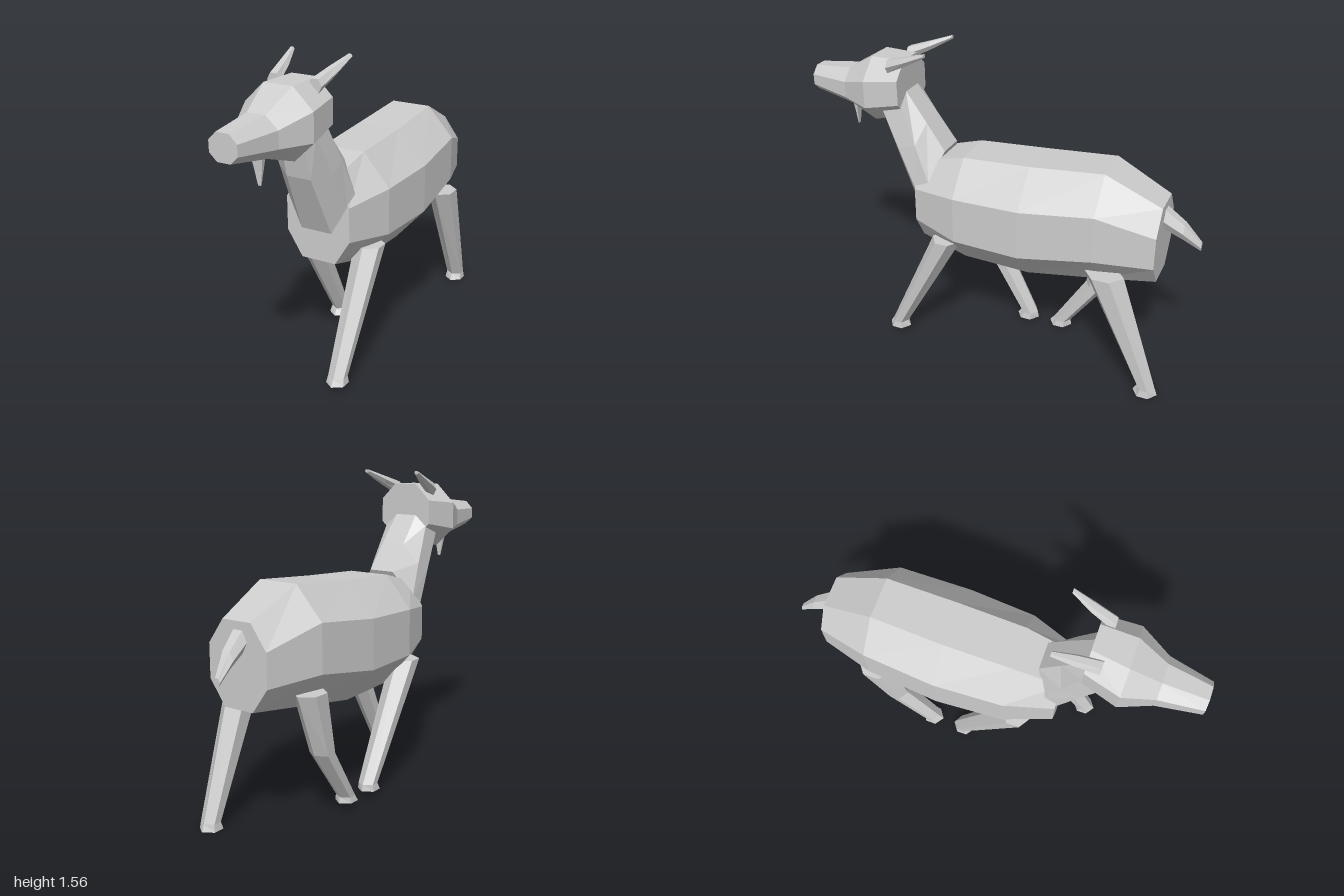
import * as THREE from 'three';

// Skin a list of rings (each a loop of [x, y, z]) with flat faces and closed ends
function loft(rings) {
  const tris = [];
  const n = rings[0].length;
  for (let i = 0; i < rings.length - 1; i++) {
    for (let j = 0; j < n; j++) {
      const k = (j + 1) % n;
      const a = rings[i][j], b = rings[i][k], c = rings[i + 1][k], d = rings[i + 1][j];
      tris.push([a, b, c], [a, c, d]);
    }
  }
  const first = rings[0], last = rings[rings.length - 1];
  for (let j = 1; j < n - 1; j++) {
    tris.push([first[0], first[j + 1], first[j]], [last[0], last[j], last[j + 1]]);
  }
  // Turn the faces outwards if the signed volume is negative
  const volume = tris.reduce((sum, [a, b, c]) => sum
    + a[0] * (b[1] * c[2] - b[2] * c[1])
    + a[1] * (b[2] * c[0] - b[0] * c[2])
    + a[2] * (b[0] * c[1] - b[1] * c[0]), 0);
  if (volume < 0) tris.forEach((t) => t.reverse());
  const geometry = new THREE.BufferGeometry();
  geometry.setAttribute('position', new THREE.Float32BufferAttribute(tris.flat(2), 3));
  geometry.computeVertexNormals();
  return geometry;
}

// Upright octagon at z: bottom, lower crease, upper crease and top heights
function octagon([z, cx, half, flat, bottom, low, high, top]) {
  return [
    [cx - flat, bottom, z], [cx + flat, bottom, z], [cx + half, low, z], [cx + half, high, z],
    [cx + flat, top, z], [cx - flat, top, z], [cx - half, high, z], [cx - half, low, z],
  ];
}

// Level hexagon with a corner towards the front and back
function hexagon([y, x, z, hx, hz]) {
  return [[x, y, z + hz], [x + hx, y, z + hz * 0.45], [x + hx, y, z - hz * 0.45],
    [x, y, z - hz], [x - hx, y, z - hz * 0.45], [x - hx, y, z + hz * 0.45]];
}

// Sloping neck ring from four [halfWidth, y, z] points, front to back
function neckRing(cx, points) {
  return [
    ...points.map(([h, y, z]) => [cx + h, y, z]),
    ...points.slice().reverse().map(([h, y, z]) => [cx - h, y, z]),
  ];
}

export function createModel() {
  const model = new THREE.Group();
  const coat = new THREE.MeshStandardMaterial({ color: 0xcccccc });
  coat.name = 'grey coat';
  coat.flatShading = true;

  const add = (name, rings) => {
    const mesh = new THREE.Mesh(loft(rings), coat);
    mesh.name = name;
    model.add(mesh);
  };

  // Body
  add('body', [
    [0.38, 0, 0.168, 0.09, 0.57, 0.695, 0.865, 0.99],
    [0.14, 0, 0.245, 0.108, 0.505, 0.665, 0.895, 1.055],
    [-0.2, 0, 0.265, 0.112, 0.495, 0.665, 0.91, 1.075],
    [-0.56, 0, 0.245, 0.105, 0.55, 0.72, 0.95, 1.105],
    [-0.83, 0, 0.163, 0.08, 0.585, 0.7, 0.86, 0.975],
  ].map(octagon));

  // Neck
  add('neck', [
    neckRing(0.004, [[0.08, 0.73, 0.4], [0.155, 0.87, 0.385], [0.155, 0.91, 0.31], [0.068, 1.05, 0.257]]),
    neckRing(0, [[0.063, 1.03, 0.53], [0.142, 1.06, 0.475], [0.138, 1.085, 0.385], [0.064, 1.18, 0.354]]),
    neckRing(-0.008, [[0.06, 1.22, 0.57], [0.125, 1.24, 0.565], [0.12, 1.27, 0.468], [0.058, 1.325, 0.468]]),
  ]);

  // Head, turned slightly to one side
  add('head', [
    [0.465, -0.003, 0.143, 0.062, 1.2, 1.28, 1.4, 1.48],
    [0.64, -0.017, 0.172, 0.073, 1.15, 1.245, 1.38, 1.475],
    [0.79, -0.024, 0.106, 0.046, 1.2, 1.25, 1.33, 1.385],
    [1.0, -0.035, 0.07, 0.032, 1.235, 1.27, 1.322, 1.36],
  ].map(octagon));

  // Horns: tapered bars sweeping up and back
  for (const side of [1, -1]) {
    const ring = (x, y, z, hx, hy) => [0, 1, 2, 3, 4, 5].map((i) => {
      const a = (i * Math.PI) / 3;
      return [x * side - 0.012 + hx * Math.cos(a), y + hy * Math.sin(a), z];
    });
    add(side > 0 ? 'leftHorn' : 'rightHorn', [
      ring(0.104, 1.455, 0.53, 0.034, 0.036),
      ring(0.125, 1.5, 0.42, 0.028, 0.024),
      ring(0.149, 1.547, 0.315, 0.013, 0.01),
    ]);
  }

  // Beard
  const beardRing = (y, x, hx, front, back) => [
    [x - hx, y, back], [x + hx, y, back], [x + hx, y, front], [x - hx, y, front]];
  add('beard', [
    beardRing(1.215, -0.025, 0.031, 0.8, 0.775),
    beardRing(1.14, -0.023, 0.019, 0.793, 0.782),
    beardRing(1.075, -0.022, 0.007, 0.79, 0.785),
  ]);

  // Tail
  const tailRing = (z, x, hx, bottom, top) => {
    const mid = (bottom + top) / 2;
    return [[x - hx * 0.5, bottom, z], [x + hx * 0.5, bottom, z], [x + hx, mid, z],
      [x + hx * 0.5, top, z], [x - hx * 0.5, top, z], [x - hx, mid, z]];
  };
  add('tail', [
    tailRing(-0.82, -0.005, 0.052, 0.845, 0.945),
    tailRing(-0.92, -0.022, 0.04, 0.79, 0.865),
    tailRing(-1.0, -0.042, 0.018, 0.732, 0.77),
  ]);

  // Legs in mid stride, each ending in a flared hoof: [y, x, z, halfX, halfZ]
  const legs = {
    frontLeftLeg: [[0.63, 0.18, 0.207, 0.065, 0.075], [0.06, 0.172, 0.498, 0.042, 0.043],
      [0.027, 0.172, 0.502, 0.047, 0.059]],
    frontRightLeg: [[0.63, -0.18, 0.2, 0.065, 0.075], [0.06, -0.172, -0.108, 0.042, 0.045],
      [0.027, -0.172, -0.1, 0.047, 0.06]],
    hindLeftLeg: [[0.63, 0.18, -0.607, 0.065, 0.095], [0.035, 0.172, -0.85, 0.042, 0.045],
      [0, 0.172, -0.847, 0.047, 0.061]],
    hindRightLeg: [[0.63, -0.18, -0.565, 0.065, 0.09], [0.325, -0.175, -0.475, 0.053, 0.06],
      [0.06, -0.172, -0.295, 0.042, 0.045], [0.03, -0.172, -0.286, 0.047, 0.06]],
  };
  for (const [name, rings] of Object.entries(legs)) add(name, rings.map(hexagon));

  return model;
}
